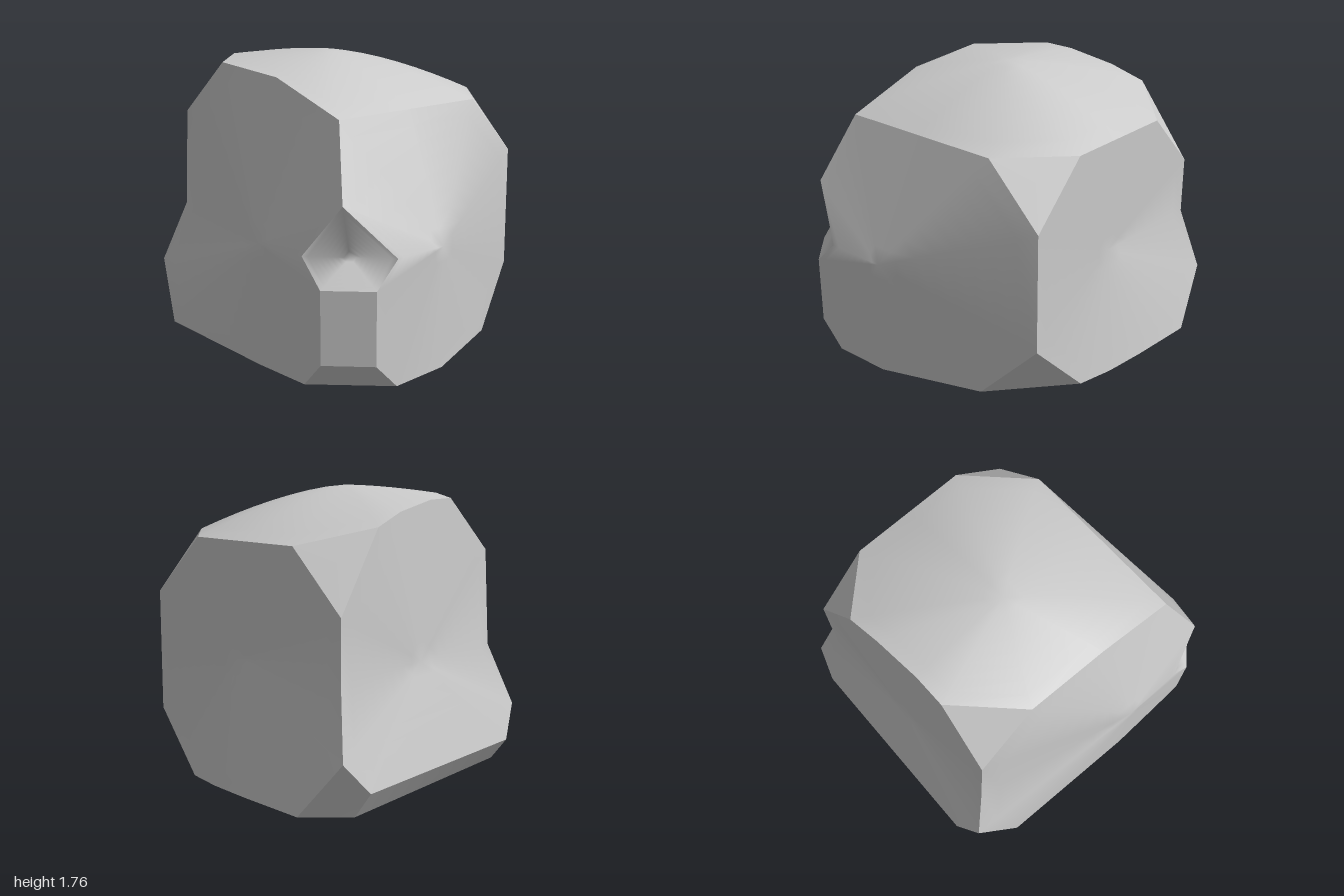
import * as THREE from 'three';

// Shared corner points of the boulder: t/b = top/bottom, f/k = front/back,
// l/r in the keys = the -x/+x side. Neighbouring faces use the same points.
const P = {
  // top rim
  tfl: [-0.69, 1.48, 0.66], tf: [-0.14, 1.48, 0.66], tfr: [0.41, 1.48, 0.66],
  trf: [0.77, 1.48, 0.30], tr: [0.77, 1.48, -0.08], trk: [0.77, 1.48, -0.46],
  tkr: [0.43, 1.58, -0.79], tk1: [0.20, 1.65, -0.77], tk2: [-0.12, 1.70, -0.75],
  tkl: [-0.33, 1.70, -0.75], tlk: [-0.68, 1.70, -0.40], tl: [-0.69, 1.66, 0.13],
  // upright edges
  frTop: [0.77, 1.12, 0.66], frLow: [0.77, 0.37, 0.66],
  krTop: [0.77, 1.12, -0.81], krMid: [0.77, 0.76, -0.81], krLow: [0.87, 0.35, -0.91],
  klTop: [-0.69, 1.36, -0.78], klMid: [-0.70, 0.75, -0.81], klLow: [-0.81, 0.36, -0.94],
  // chamfered front edge on the -x side
  peak: [-0.84, 1.06, 0.85], notch: [-0.57, 0.75, 1.0], shoulder: [-0.94, 0.76, 0.63],
  stripTopF: [-0.73, 0.60, 1.0], stripTopL: [-0.94, 0.60, 0.78],
  stripLowF: [-0.73, 0.17, 1.0], stripLowL: [-0.94, 0.17, 0.78],
  // bottom rim
  bfl: [-0.57, 0.01, 1.0], bf: [-0.19, 0.01, 0.99], bfr: [0.43, 0.01, 0.77],
  brf: [0.83, 0.01, 0.31], br1: [0.88, 0.01, 0.08], br2: [0.91, 0.01, -0.20],
  brk: [0.94, 0.01, -0.64], bkr: [0.73, 0.01, -0.88], bkl: [-0.67, 0.01, -0.88],
  blk: [-0.91, 0.01, -0.69], bl: [-0.94, 0.01, 0.25], blf: [-0.93, 0.01, 0.63],
  // lower back edge
  kr: [0.71, 0.16, -0.975], kl: [-0.65, 0.16, -1.0],
};

const STEPS = 8;

// Fills a rim of points towards a centre. A power above 1 domes the height.
// Normals are smooth within a face and sharp between faces.
function face(name, names, centre, power = 1) {
  const rim = names.split(' ').map((n) => new THREE.Vector3(...P[n]));
  const mean = rim.reduce((a, p) => a.add(p), new THREE.Vector3()).divideScalar(rim.length);
  const mid = centre ? new THREE.Vector3(...centre) : mean;

  // Turn the rim so that the face looks outwards
  const normal = new THREE.Vector3();
  rim.forEach((p, i) => {
    const q = rim[(i + 1) % rim.length];
    normal.add(p.clone().sub(mean).cross(q.clone().sub(mean)));
  });
  if (normal.dot(mean.clone().sub(new THREE.Vector3(0, 0.8, 0))) < 0) rim.reverse();

  const n = rim.length;
  const steps = centre ? STEPS : 1;
  const pos = [];
  const index = [];
  for (let s = 0; s < steps; s++) {
    const t = s / steps;
    for (const p of rim) {
      const q = p.clone().lerp(mid, t);
      q.y = mid.y + (p.y - mid.y) * Math.pow(1 - t, power);
      pos.push(q.x, q.y, q.z);
    }
  }
  pos.push(mid.x, mid.y, mid.z);
  for (let s = 0; s < steps; s++) {
    for (let i = 0; i < n; i++) {
      const a = s * n + i;
      const b = s * n + ((i + 1) % n);
      if (s === steps - 1) index.push(a, b, steps * n);
      else index.push(a, b, b + n, a, b + n, a + n);
    }
  }
  const geo = new THREE.BufferGeometry();
  geo.setAttribute('position', new THREE.Float32BufferAttribute(pos, 3));
  geo.setIndex(index);
  geo.computeVertexNormals();
  const mesh = new THREE.Mesh(geo, new THREE.MeshStandardMaterial({ color: 0xcccccc }));
  mesh.name = name;
  return mesh;
}

export function createModel() {
  const boulder = new THREE.Group();
  boulder.name = 'boulder';
  boulder.add(
    // six large faces
    face('topFace', 'tfl tf tfr trf tr trk tkr tk1 tk2 tkl tlk tl', [-0.11, 1.765, -0.1], 1.5),
    face('frontFace', 'tfl tf tfr frTop frLow bfr bf bfl stripLowF stripTopF notch peak', [-0.19, 0.74, 0.985]),
    face('leftFace', 'trf tr trk krTop krMid krLow brk br2 br1 brf frLow frTop', [0.77, 0.78, 0]),
    face('backFace', 'tkr tk1 tk2 tkl klTop klMid klLow kl kr krLow krMid krTop', [0.04, 0.76, -0.815]),
    face('rightFace', 'tfl tl tlk klTop klMid klLow blk bl blf stripLowL stripTopL shoulder peak', [-0.94, 0.75, 0.25]),
    face('bottomFace', 'bfl bf bfr brf br1 br2 brk bkr bkl blk bl blf', [0, 0, 0]),
    // chipped corners
    face('topFrontLeftChip', 'tfr frTop trf'),
    face('topBackLeftChip', 'trk krTop tkr'),
    face('topBackRightChip', 'tkl klTop tlk'),
    face('bottomFrontLeftChip', 'frLow bfr brf'),
    face('bottomBackLeftChip', 'krLow brk bkr kr'),
    face('bottomBackRightChip', 'klLow kl bkl blk'),
    face('bottomFrontRightChip', 'blf bfl stripLowF stripLowL'),
    face('upperFrontRightChip', 'stripTopL stripTopF notch peak shoulder', [-0.755, 0.755, 0.815]),
    // chipped edges
    face('frontRightEdge', 'stripLowL stripLowF stripTopF stripTopL'),
    face('backBottomEdge', 'kl kr bkr bkl'),
  );
  return boulder;
}
